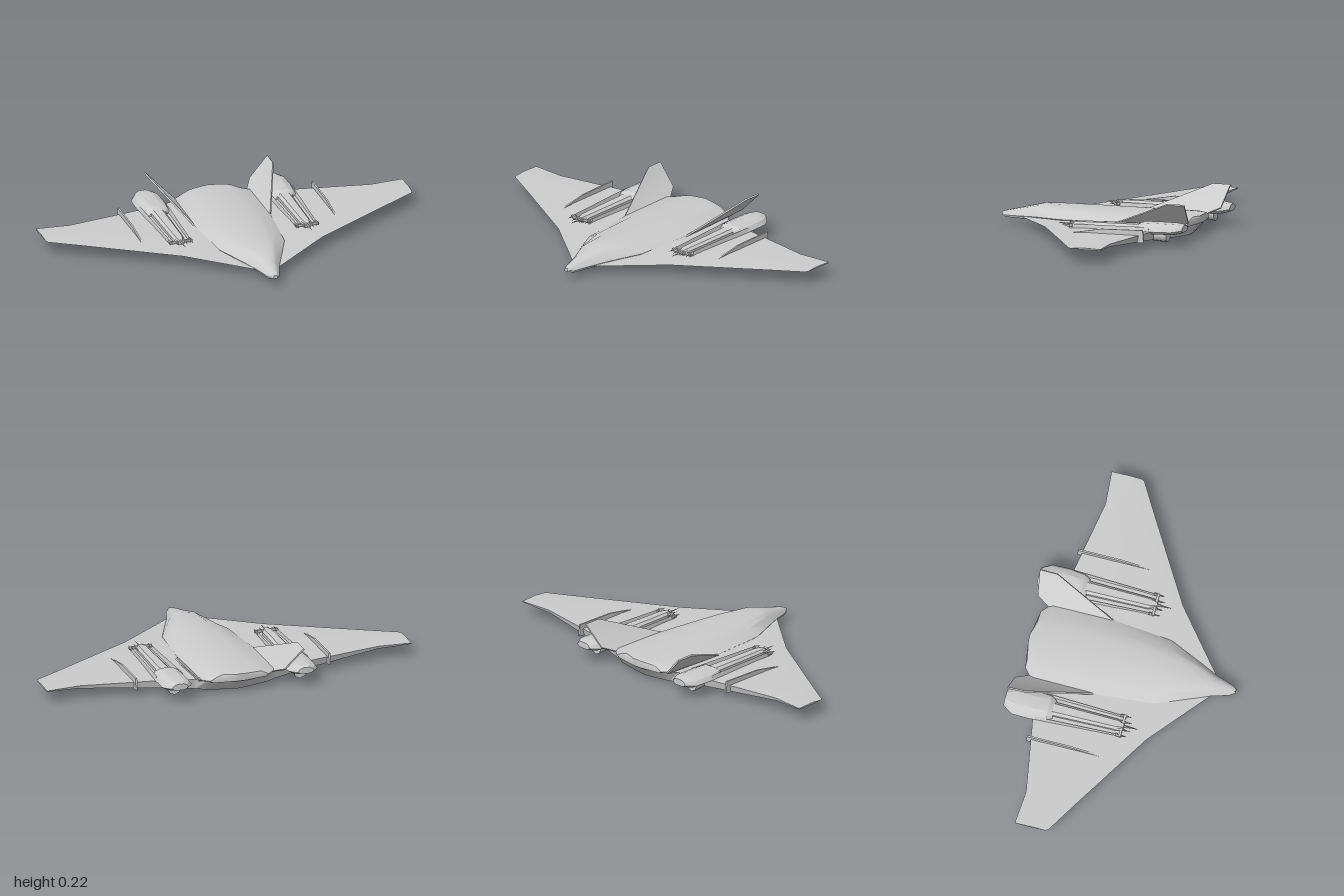
import * as THREE from 'three';
import { toCreasedNormals } from 'three/addons/utils/BufferGeometryUtils.js';

const grey = new THREE.MeshStandardMaterial({ color: 0xcccccc, side: THREE.DoubleSide });

// Skin a list of equal-length rings of [x, y, z], cap both ends, and face the result outward
function loft(rings, crease = 0.5) {
  const n = rings[0].length;
  const tris = [];
  for (let i = 0; i < rings.length - 1; i++) {
    for (let j = 0; j < n; j++) {
      const k = (j + 1) % n;
      const a = rings[i][j], b = rings[i][k], c = rings[i + 1][k], d = rings[i + 1][j];
      tris.push([a, b, c], [a, c, d]);
    }
  }
  const last = rings[rings.length - 1];
  for (let j = 1; j < n - 1; j++) {
    tris.push([rings[0][0], rings[0][j + 1], rings[0][j]], [last[0], last[j], last[j + 1]]);
  }
  const [o] = rings[0];
  const v = (p) => new THREE.Vector3(p[0] - o[0], p[1] - o[1], p[2] - o[2]);
  let volume = 0;
  for (const [a, b, c] of tris) volume += v(a).dot(v(b).cross(v(c)));
  if (volume < 0) tris.forEach((t) => t.reverse());
  const geo = new THREE.BufferGeometry();
  geo.setAttribute('position', new THREE.Float32BufferAttribute(tris.flat(2), 3));
  return toCreasedNormals(geo, crease);
}

function add(parent, name, geometry) {
  const mesh = new THREE.Mesh(geometry, grey);
  mesh.name = name;
  parent.add(mesh);
  return mesh;
}

// Thin vertical plate: outline of [z, y] points at a given x
function plate(x, outline, thickness) {
  const h = thickness / 2;
  return loft([-h, h].map((dx) => outline.map(([z, y]) => [x + dx, y, z])), 0.2);
}

// Wing: x, leading edge z and y, mid z, bottom y, trailing edge z at top and bottom
function buildWing() {
  const half = [
    [0, 0.55, 0.047, 0.0, 0, -0.535, -0.47],
    [0.06, 0.45, 0.049, 0.0, 0.005, -0.53, -0.47],
    [0.17, 0.36, 0.053, 0.0, 0.013, -0.5, -0.46],
    [0.22, 0.32, 0.055, 0.0, 0.017, -0.455, -0.44],
    [0.38, 0.19, 0.061, -0.05, 0.03, -0.415, -0.405],
    [0.82, -0.075, 0.069, -0.2, 0.06, -0.34, -0.335],
    [0.99, -0.175, 0.072, -0.25, 0.069, -0.353, -0.35],
    [1, -0.19, 0.073, -0.25, 0.07, -0.353, -0.35],
  ];
  const ring = ([x, zl, yl, zm, yb, zt, ztb], s) => [
    [s * x, yl, zl], [s * x, (yl + 0.078) / 2 + 0.004, zm],
    [s * x, 0.076, zt], [s * x, yb, ztb], [s * x, yb, zm],
  ];
  const left = half.map((r) => ring(r, 1));
  const right = half.slice(1).reverse().map((r) => ring(r, -1));
  return loft([...right, ...left], 0.25);
}

// Fuselage: z, half width, top half width, base y, top y
function buildFuselage() {
  const stations = [
    [0.57, 0.012, 0.006, 0.047, 0.058],
    [0.54, 0.032, 0.014, 0.04, 0.068],
    [0.45, 0.06, 0.028, 0.042, 0.089],
    [0.35, 0.105, 0.055, 0.048, 0.113],
    [0.18, 0.18, 0.075, 0.058, 0.114],
    [-0.14, 0.21, 0.085, 0.07, 0.113],
    [-0.46, 0.225, 0.09, 0.072, 0.112],
    [-0.515, 0.16, 0.085, 0.073, 0.11],
    [-0.535, 0.03, 0.02, 0.074, 0.108],
  ];
  return loft(stations.map(([z, w, t, base, top]) => {
    const h = top - base, m = t + (w - t) * 0.45;
    const side = [[t, top - h * 0.05], [m, base + h * 0.72], [w, base + h * 0.15], [w * 0.9, base - 0.006]];
    return [
      [0, top, z],
      ...side.map(([x, y]) => [x, y, z]),
      ...side.reverse().map(([x, y]) => [-x, y, z]),
    ];
  }), 0.6);
}

// Everything that exists once per side, built on the +x side
function buildSide() {
  const side = new THREE.Group();

  // Outward-leaning tail fin
  const fin = [[0.21, 0.075, -0.14], [0.335, 0.212, -0.47], [0.337, 0.212, -0.565],
    [0.235, 0.105, -0.55], [0.19, 0.07, -0.47]];
  add(side, 'tailFin', loft([-0.003, 0.003].map((d) => fin.map(([x, y, z]) => [x + d, y - d, z])), 0.2));

  // Wing fence wrapping the trailing edge
  add(side, 'wingFence', plate(0.53,
    [[-0.02, 0.07], [-0.18, 0.098], [-0.41, 0.104], [-0.415, 0.04], [-0.36, 0.035], [-0.33, 0.07]], 0.009));

  const nacelle = new THREE.Group();
  nacelle.name = 'engineNacelle';
  nacelle.position.x = 0.345;
  side.add(nacelle);

  // Rear engine hull: z, half width, bottom y, top y
  const hull = [[-0.31, 0.05, 0.068, 0.1], [-0.34, 0.072, 0.066, 0.114], [-0.42, 0.082, 0.058, 0.116],
    [-0.52, 0.08, 0.062, 0.116], [-0.55, 0.062, 0.068, 0.114], [-0.572, 0.045, 0.076, 0.11]];
  add(nacelle, 'engineHull', loft(hull.map(([z, w, b, t]) => {
    const h = t - b;
    return [[-0.4, 1], [0.4, 1], [0.8, 0.75], [1, 0.35], [0.7, 0.08], [0.4, 0], [-0.4, 0],
      [-0.7, 0.08], [-1, 0.35], [-0.8, 0.75]].map(([x, y]) => [x * w, b + y * h, z]);
  }), 0.4));

  // Underside exhaust block
  const exhaust = add(nacelle, 'exhaustBlock', new THREE.CylinderGeometry(0.03, 0.036, 0.1, 8));
  exhaust.rotation.x = Math.PI / 2;
  exhaust.position.set(0, 0.052, -0.43);

  // Central spine
  const spine = [[0.06, 0.015, 0.093], [0.02, 0.03, 0.098], [-0.33, 0.038, 0.104]];
  add(nacelle, 'spine', loft(spine.map(([z, w, t]) =>
    [[-w, 0.06, z], [-w, t - 0.012, z], [-w * 0.6, t, z], [w * 0.6, t, z], [w, t - 0.012, z], [w, 0.06, z]]), 0.3));

  // Long strakes beside the spine, with forward spikes
  for (const s of [-1, 1]) {
    const strake = [[0.05, 0.003, 0.09], [-0.2, 0.008, 0.096], [-0.4, 0.012, 0.1]];
    add(nacelle, 'strake', loft(strake.map(([z, w, t]) => {
      const x = s * (0.055 - z * 0.04);
      return [[x - w, 0.06, z], [x, t, z], [x + w, 0.06, z]];
    }), 0.3));
  }
  for (const [x, tip] of [[-0.055, 0.09], [-0.022, 0.1], [0, 0.14], [0.022, 0.1], [0.055, 0.09]]) {
    const spike = add(nacelle, 'forwardSpike', new THREE.ConeGeometry(0.009, tip - 0.03, 4));
    spike.rotation.x = Math.PI / 2;
    spike.position.set(x, 0.082, (tip + 0.03) / 2);
  }
  const bar = add(nacelle, 'spikeCrossbar', new THREE.BoxGeometry(0.125, 0.012, 0.012));
  bar.position.set(0, 0.082, 0.052);
  return side;
}

export function createModel() {
  const model = new THREE.Group();
  model.name = 'flyingWingAircraft';
  add(model, 'wing', buildWing());
  add(model, 'fuselage', buildFuselage());
  const left = buildSide();
  left.name = 'leftSide';
  const right = buildSide();
  right.name = 'rightSide';
  right.scale.x = -1;
  model.add(left, right);
  return model;
}
